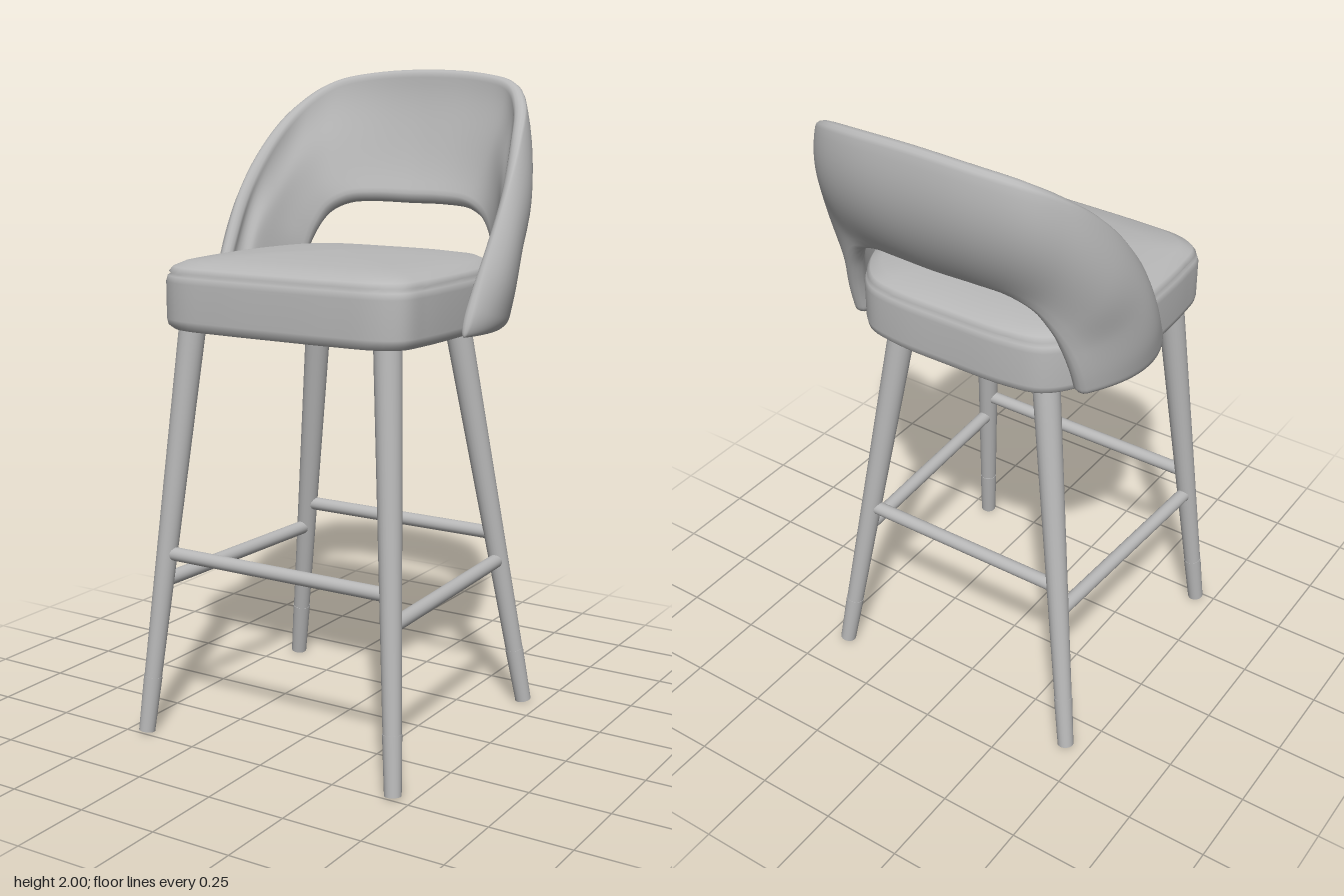
import * as THREE from 'three';

const V = (x, y, z) => new THREE.Vector3(x, y, z);

// Skin a list of closed rings (equal point counts) with smooth normals
function loft(rings) {
  const n = rings[0].length, pos = [], idx = [];
  rings.forEach(r => r.forEach(p => pos.push(p.x, p.y, p.z)));
  for (let i = 0; i < rings.length - 1; i++) {
    for (let j = 0; j < n; j++) {
      const k = (j + 1) % n;
      const a = i * n + j, b = i * n + k, c = b + n, d = a + n;
      idx.push(a, b, c, a, c, d);
    }
  }
  const g = new THREE.BufferGeometry();
  g.setAttribute('position', new THREE.Float32BufferAttribute(pos, 3));
  g.setIndex(idx);
  g.computeVertexNormals();
  return g;
}

// Cushion: plan outline lofted through a [height, inset] profile
function seatGeometry() {
  const half = [[0.2, 0.428], [0.345, 0.416], [0.407, 0.375], [0.425, 0.28], [0.432, 0.08], [0.426, -0.04],
    [0.408, -0.14], [0.37, -0.235], [0.3, -0.312], [0.2, -0.337]];
  const outline = [[0, 0.43], ...half, [0, -0.342], ...half.slice().reverse().map(([x, z]) => [-x, z])];
  const curve = new THREE.CatmullRomCurve3(outline.map(([x, z]) => V(x, 0, z)), true);
  const pts = curve.getPoints(110).slice(0, -1);
  const profile = [[1.25, 0.4], [1.25, 0.015], [1.25, 0.015], [1.262, 0.003], [1.28, 0], [1.39, 0], [1.408, 0.004],
    [1.414, 0.012], [1.42, 0.007], [1.434, 0.016], [1.449, 0.045], [1.461, 0.12], [1.47, 0.25], [1.475, 0.4]];
  return loft(profile.map(([y, inset]) => {
    const s = 1 - inset / 0.4;
    return pts.map(p => V(p.x * s, y, 0.045 + (p.z - 0.045) * s));
  }));
}

// Wraparound back: a padded band between a lower, middle and upper rail
function backGeometry() {
  // From the centre of the back out to the bottom of one arm
  const rails = [
    [[0, 1.613, -0.373], [0.13, 1.613, -0.368], [0.23, 1.603, -0.354], [0.3, 1.568, -0.333],
      [0.345, 1.5, -0.305], [0.37, 1.415, -0.275], [0.382, 1.335, -0.25], [0.385, 1.252, -0.225]],
    [[0, 1.79, -0.468], [0.18, 1.785, -0.457], [0.31, 1.765, -0.418], [0.39, 1.71, -0.345],
      [0.45, 1.61, -0.25], [0.475, 1.5, -0.15], [0.478, 1.38, -0.09], [0.455, 1.252, -0.06]],
    [[0, 1.981, -0.477], [0.2, 1.97, -0.464], [0.32, 1.944, -0.424], [0.387, 1.888, -0.348],
      [0.432, 1.785, -0.235], [0.458, 1.63, -0.115], [0.457, 1.46, -0.015], [0.44, 1.252, 0.09]],
  ].map(rail => new THREE.CatmullRomCurve3([
    ...rail.slice(1).reverse().map(([x, y, z]) => V(-x, y, z)),
    ...rail.map(p => V(...p)),
  ]));

  // Middle surface: a parabola through the three rails
  const mid = (u, v) => {
    const [l, m, h] = rails.map(r => r.getPoint(u));
    return l.multiplyScalar((1 - v) * (1 - 2 * v))
      .addScaledVector(m, 4 * v * (1 - v))
      .addScaledVector(h, v * (2 * v - 1));
  };
  const frame = (u, v) => {
    const e = 0.004;
    const du = mid(Math.min(1, u + e), v).sub(mid(Math.max(0, u - e), v));
    const dv = mid(u, Math.min(1, v + e)).sub(mid(u, Math.max(0, v - e))).normalize();
    return { n: dv.clone().cross(du).normalize(), dv };
  };

  // Cross-section with rounded edges and extra padding inside, closing at the arm ends
  const section = u => {
    const ring = [], steps = 16, capSteps = 6;
    const end = Math.max(0, (Math.abs(2 * u - 1) - 0.95) / 0.05);
    const fade = Math.sqrt(Math.max(0, 1 - end * end));
    const arm = Math.min(1, Math.abs(2 * u - 1) * 1.5);
    const put = (v, a, padding) => {
      const { n, dv } = frame(u, v);
      const t = (THREE.MathUtils.lerp(0.028, 0.021, v) + padding) * fade;
      ring.push(mid(u, v).addScaledVector(n, t * Math.cos(a)).addScaledVector(dv, t * Math.sin(a)));
    };
    for (let i = 0; i <= steps; i++) put(i / steps, 0, 0);
    for (let i = 1; i < capSteps; i++) put(1, Math.PI * i / capSteps, 0);
    for (let i = steps; i >= 0; i--) {
      put(i / steps, Math.PI, (0.025 + 0.023 * arm) * Math.sin(Math.PI * i / steps));
    }
    for (let i = 1; i < capSteps; i++) put(0, Math.PI * (1 + i / capSteps), 0);
    return ring;
  };

  // Rings gather towards the ends, where the arms round off
  const count = 110, rings = [];
  for (let i = 0; i <= count; i++) rings.push(section(0.5 + 0.5 * Math.sin(Math.PI * (i / count - 0.5))));
  return loft(rings);
}

export function createModel() {
  const model = new THREE.Group();
  model.name = 'barStool';
  const grey = new THREE.MeshStandardMaterial({ color: 0xb8b8b8 });
  grey.name = 'grey';

  const add = (name, geometry) => {
    const mesh = new THREE.Mesh(geometry, grey);
    mesh.name = name;
    model.add(mesh);
    return mesh;
  };

  // Round bar between two points
  const bar = (name, a, b, ra, rb) => {
    const dir = b.clone().sub(a);
    const mesh = add(name, new THREE.CylinderGeometry(rb, ra, dir.length(), 24));
    mesh.position.copy(a).lerp(b, 0.5);
    mesh.quaternion.setFromUnitVectors(V(0, 1, 0), dir.normalize());
  };

  add('seat', seatGeometry());
  add('backrest', backGeometry());

  // Splayed, tapered legs with foot sleeves
  const legs = {
    front: { foot: V(0.439, 0.006, 0.479), top: V(0.335, 1.27, 0.342) },
    back: { foot: V(0.435, 0.006, -0.36), top: V(0.248, 1.27, -0.213) },
  };
  const on = (leg, y, s) => {
    const p = leg.foot.clone().lerp(leg.top, (y - leg.foot.y) / (leg.top.y - leg.foot.y));
    p.x *= s;
    return p;
  };
  for (const s of [1, -1]) {
    const label = s > 0 ? 'Left' : 'Right';
    for (const [name, leg] of Object.entries(legs)) {
      bar(name + label + 'Leg', on(leg, 0.17, s), on(leg, 1.27, s), 0.027, 0.041);
      bar(name + label + 'FootSleeve', on(leg, 0.006, s), on(leg, 0.18, s), 0.025, 0.0285);
    }
    // Side stretchers
    bar('side' + label + 'Stretcher', on(legs.front, 0.48, s), on(legs.back, 0.48, s), 0.022, 0.022);
  }

  // Front and back stretchers
  for (const [name, leg] of Object.entries(legs)) {
    bar(name + 'Stretcher', on(leg, 0.567, -1), on(leg, 0.567, 1), 0.021, 0.021);
  }
  return model;
}
